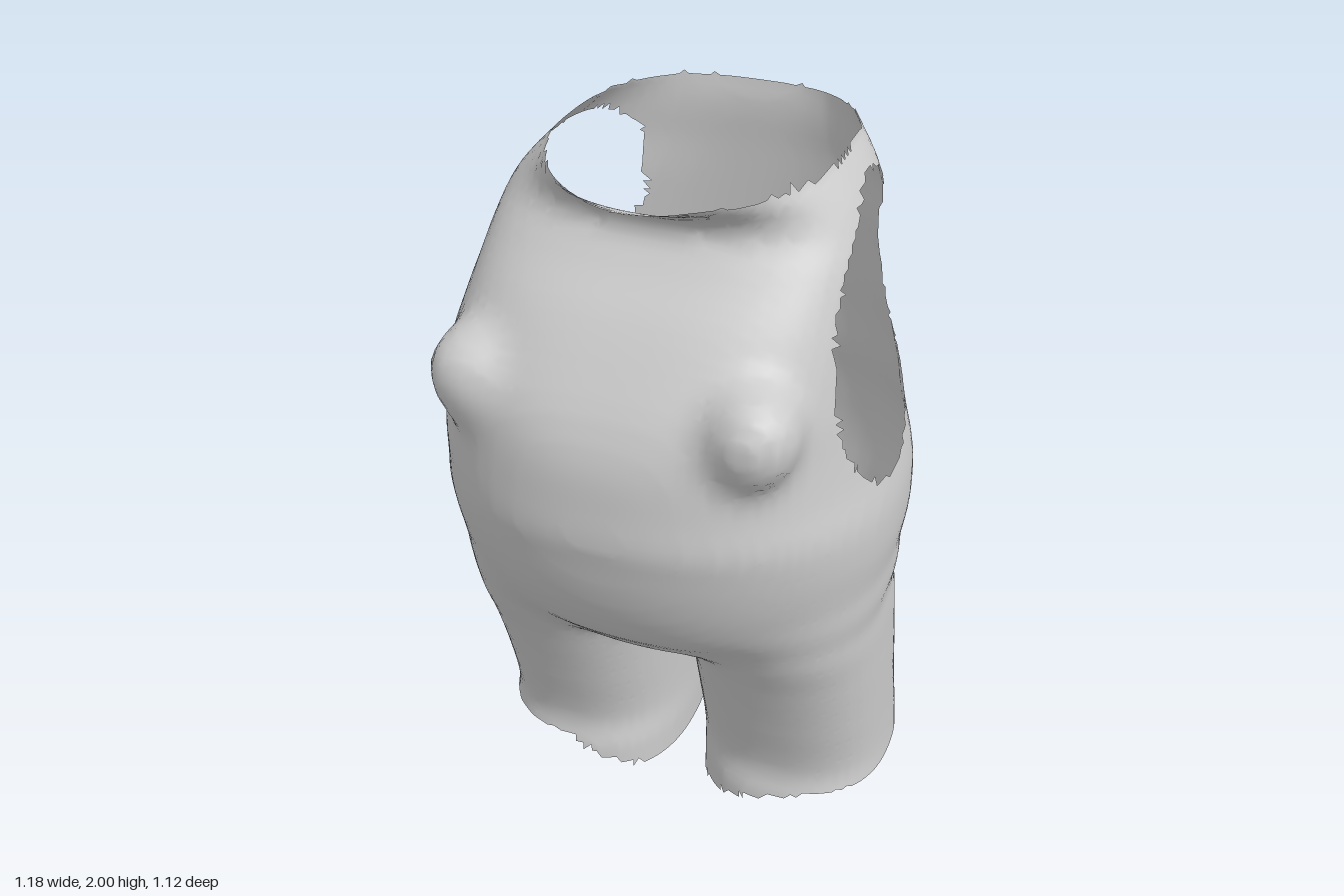
import * as THREE from 'three';
import { mergeVertices } from 'three/addons/utils/BufferGeometryUtils.js';

// Smooth lookup in a table of [y, value, value, ...] rows
function profile(rows) {
  const slope = (i, c) => {
    const a = rows[Math.max(i - 1, 0)], b = rows[Math.min(i + 1, rows.length - 1)];
    return (b[c] - a[c]) / (b[0] - a[0]);
  };
  return (y) => {
    const n = rows.length - 1;
    if (y <= rows[0][0]) return rows[0].slice(1);
    if (y >= rows[n][0]) return rows[n].slice(1);
    let i = 0;
    while (y > rows[i + 1][0]) i++;
    const h = rows[i + 1][0] - rows[i][0], t = (y - rows[i][0]) / h, t2 = t * t, t3 = t2 * t;
    return rows[i].slice(1).map((v, k) =>
      (2 * t3 - 3 * t2 + 1) * v + (t3 - 2 * t2 + t) * h * slope(i, k + 1) +
      (3 * t2 - 2 * t3) * rows[i + 1][k + 1] + (t3 - t2) * h * slope(i + 1, k + 1));
  };
}

// Torso: y, half width, front z, back z, sideways shift, front and back squareness
const torsoAt = profile([
  [0.64, 0.18, 0.16, -0.20, 0, 2.2, 2.5], [0.70, 0.37, 0.28, -0.30, 0, 2.2, 2.5],
  [0.77, 0.50, 0.355, -0.40, 0, 2.2, 2.5], [0.85, 0.56, 0.43, -0.46, 0.01, 2.2, 2.5],
  [0.95, 0.575, 0.488, -0.485, 0.01, 2.2, 2.5], [1.05, 0.59, 0.525, -0.49, 0.01, 2.2, 2.5],
  [1.15, 0.59, 0.549, -0.485, 0.01, 2.25, 2.5], [1.21, 0.582, 0.562, -0.48, 0.01, 2.25, 2.5],
  [1.30, 0.57, 0.56, -0.47, 0, 2.25, 2.5], [1.42, 0.545, 0.55, -0.465, 0, 2.35, 2.5],
  [1.52, 0.52, 0.515, -0.46, 0, 2.7, 2.5], [1.62, 0.495, 0.455, -0.455, 0.01, 2.9, 2.5],
  [1.72, 0.47, 0.385, -0.45, 0.02, 3, 2.5], [1.82, 0.45, 0.30, -0.445, 0.03, 2.9, 2.6],
  [1.89, 0.425, 0.262, -0.44, 0.035, 2.5, 2.6], [1.94, 0.39, 0.305, -0.44, 0.04, 2.1, 2.7],
  [2.0, 0.335, 0.45, -0.45, 0.045, 1.65, 2.8],
]);

// Legs: y, centre x, half width, front z, back z
const leftLegAt = profile([
  [0.1, 0.325, 0.272, 0.12, -0.475], [0.2, 0.32, 0.27, 0.105, -0.46], [0.4, 0.317, 0.267, 0.165, -0.425],
  [0.6, 0.315, 0.265, 0.24, -0.40], [0.78, 0.31, 0.262, 0.315, -0.38], [0.95, 0.30, 0.24, 0.32, -0.33],
]);
const rightLegAt = profile([
  [0.1, 0.305, 0.272, 0.12, -0.56], [0.2, 0.302, 0.265, 0.105, -0.55], [0.4, 0.30, 0.26, 0.165, -0.51],
  [0.6, 0.30, 0.26, 0.24, -0.455], [0.78, 0.30, 0.26, 0.315, -0.40], [0.95, 0.29, 0.235, 0.32, -0.33],
]);

const section = (x, z, w, d, p) =>
  ((Math.abs(x / w) ** p + Math.abs(z / d) ** p) ** (1 / p) - 1) * Math.min(w, d);
const blend = (a, b, k) => {
  const h = Math.max(k - Math.abs(a - b), 0) / k;
  return Math.min(a, b) - h * h * k * 0.25;
};

// Signed body shape: torso, two legs and two chest buttons, softly joined
function shape(x, y, z, torso, left, right) {
  const [w, zf, zb, shift, pf, pb] = torso;
  const body = Math.max(section(x - shift, z, w, z > 0 ? zf : -zb, z > 0 ? pf : pb), 0.64 - y);
  const leg = ([cx, hw, f, b], side) => Math.max(
    section(x - side * cx, z - (f + b) / 2, hw, (f - b) / 2, 2.4), y - 0.95);
  const legs = Math.min(leg(left, 1), leg(right, -1));
  const drop = (y - 1.53) * (y < 1.53 ? 0.8 : 1);
  const button = Math.hypot(Math.abs(x) - 0.35, drop, z - (x > 0 ? 0.44 : 0.405)) - 0.102;
  return blend(blend(body, legs, 0.06), button, 0.07);
}

// Openings for neck, slanted armholes and leg ends
function isCut(x, y, z) {
  if (y > 1.995) return true;
  const side = Math.abs(x);
  const [cz, cy, rz, ry, power] = x > 0 ? [-0.02, 1.595, 0.275, 0.345, 2] : [-0.1, 1.615, 0.305, 0.325, 2.4];
  const lean = z - cz + 0.2 * (y - cy);
  if (side > 0.25 && Math.abs(lean / rz) ** power + Math.abs((y - cy) / ry) ** power < 1) return true;
  const hem = x > 0
    ? THREE.MathUtils.smoothstep(side + 0.3 * z, 0.0, 0.55)
    : THREE.MathUtils.smoothstep(side, 0.05, 0.36);
  return y < 0.012 + 0.128 * hem;
}

// Wrap the shape in an even quad skin, one vertex per crossed cell
function skin() {
  const h = 0.025, n = [54, 88, 52], o = [-0.67, -0.1, -0.64];
  const id = (i, j, k) => (j * n[2] + k) * n[0] + i;
  const field = new Float32Array(n[0] * n[1] * n[2]);
  for (let j = 0; j < n[1]; j++) {
    const y = o[1] + j * h, t = torsoAt(y), l = leftLegAt(y), r = rightLegAt(y);
    for (let k = 0; k < n[2]; k++) for (let i = 0; i < n[0]; i++)
      field[id(i, j, k)] = shape(o[0] + i * h, y, o[2] + k * h, t, l, r);
  }
  const step = [1, n[0] * n[2], n[0]];
  const cellVertex = new Int32Array(field.length).fill(-1), positions = [], index = [];
  for (let j = 0; j < n[1] - 1; j++) for (let k = 0; k < n[2] - 1; k++) for (let i = 0; i < n[0] - 1; i++) {
    const c = id(i, j, k), sum = [0, 0, 0];
    let count = 0;
    for (let a = 0; a < 3; a++) for (let q = 0; q < 4; q++) {
      const b = (a + 1) % 3, d = (a + 2) % 3, u = q & 1, v = q >> 1;
      const s = c + u * step[b] + v * step[d], f0 = field[s], f1 = field[s + step[a]];
      if ((f0 < 0) === (f1 < 0)) continue;
      sum[a] += f0 / (f0 - f1);
      sum[b] += u;
      sum[d] += v;
      count++;
    }
    if (!count) continue;
    cellVertex[c] = positions.length / 3;
    [i, j, k].forEach((g, a) => positions.push(o[a] + (g + sum[a] / count) * h));
  }
  for (let c = step[1]; c < field.length - step[1]; c++) for (let a = 0; a < 3; a++) {
    const inside = field[c] < 0;
    if (inside === field[c + step[a]] < 0) continue;
    const b = step[(a + 1) % 3], d = step[(a + 2) % 3];
    const q = [c, c - b, c - b - d, c - d].map((e) => cellVertex[e]);
    if (q.some((e) => e < 0)) continue;
    if (!inside) q.reverse();
    index.push(q[0], q[1], q[2], q[0], q[2], q[3]);
  }
  const geometry = new THREE.BufferGeometry();
  geometry.setAttribute('position', new THREE.Float32BufferAttribute(positions, 3));
  geometry.setIndex(index);
  geometry.computeVertexNormals();
  return geometry;
}

export function createModel() {
  const group = new THREE.Group();
  group.name = 'bodySuit';
  const material = new THREE.MeshStandardMaterial({ color: 0xcccccc, side: THREE.DoubleSide });
  const body = skin(), p = body.attributes.position, index = body.index.array;

  // Sort the triangles into torso and legs, leaving the openings out
  const parts = { torso: [], leftLeg: [], rightLeg: [] };
  for (let t = 0; t < index.length; t += 3) {
    const tri = [index[t], index[t + 1], index[t + 2]];
    const mid = (axis) => tri.reduce((s, v) => s + p[axis](v), 0) / 3;
    const x = mid('getX'), y = mid('getY');
    if (isCut(x, y, mid('getZ'))) continue;
    parts[y > 0.72 ? 'torso' : x > 0 ? 'leftLeg' : 'rightLeg'].push(...tri);
  }
  for (const [name, tris] of Object.entries(parts)) {
    const geometry = body.clone();
    geometry.setIndex(tris);
    const mesh = new THREE.Mesh(mergeVertices(geometry.toNonIndexed()), material);
    mesh.name = name;
    group.add(mesh);
  }
  return group;
}
